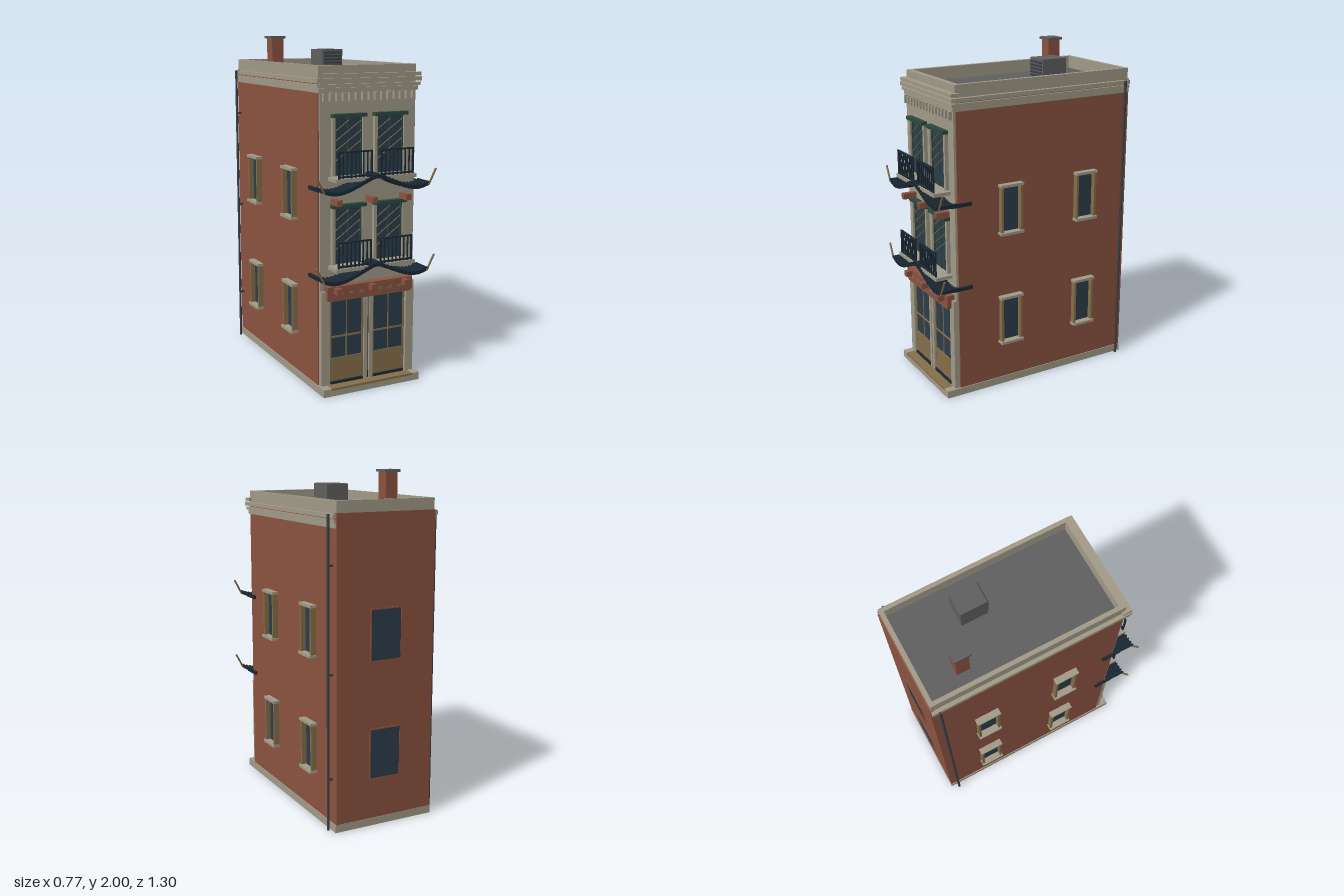
import * as THREE from 'three';

const mat = (name, color) => Object.assign(new THREE.MeshStandardMaterial({ color }), { name });
const M = {
  cream: mat('cream stone', 0xa39c89),
  brick: mat('red brick', 0x8d5341),
  roof: mat('roof grey', 0x606060),
  glass: mat('blue glass', 0x2d3e4c),
  tan: mat('tan wood', 0x86704a),
  navy: mat('dark navy iron', 0x1b2935),
  green: mat('dark green trim', 0x2b4a40),
  metal: mat('dark grey metal', 0x3d4145),
};

// Box given by its minimum and maximum on each axis
function box(parent, name, m, x0, x1, y0, y1, z0, z1) {
  const mesh = new THREE.Mesh(new THREE.BoxGeometry(x1 - x0, y1 - y0, z1 - z0), m);
  mesh.position.set((x0 + x1) / 2, (y0 + y1) / 2, (z0 + z1) / 2);
  mesh.name = name;
  parent.add(mesh);
  return mesh;
}

// Round bar between two points
function bar(parent, name, m, a, b, r, sides = 6) {
  const A = new THREE.Vector3(...a), B = new THREE.Vector3(...b);
  const mesh = new THREE.Mesh(new THREE.CylinderGeometry(r, r, A.distanceTo(B), sides), m);
  mesh.position.copy(A).add(B).multiplyScalar(0.5);
  mesh.quaternion.setFromUnitVectors(new THREE.Vector3(0, 1, 0), B.sub(A).normalize());
  mesh.name = name;
  parent.add(mesh);
}

function group(parent, name) {
  const g = new THREE.Group();
  g.name = name;
  parent.add(g);
  return g;
}

// Walls, base, parapet and cornice
function shell(root) {
  const g = group(root, 'shell');
  box(g, 'base', M.cream, -0.315, 0.315, 0, 0.045, -0.647, 0.605);
  box(g, 'brickBody', M.brick, -0.31, 0.31, 0.045, 1.765, -0.645, 0.518);
  box(g, 'backWallTop', M.brick, -0.31, 0.31, 1.76, 1.785, -0.645, -0.62);
  box(g, 'facade', M.cream, -0.302, 0.302, 0.045, 1.79, 0.5, 0.53);
  box(g, 'roofDeck', M.roof, -0.29, 0.29, 1.76, 1.775, -0.62, 0.5);
  for (const s of [-1, 1]) {
    const x = s * 0.295;
    box(g, 'parapetSide', M.cream, x - 0.0125, x + 0.0125, 1.765, 1.85, -0.637, 0.522);
  }
  box(g, 'parapetFront', M.cream, -0.283, 0.283, 1.765, 1.85, 0.49, 0.522);
  box(g, 'parapetBack', M.cream, -0.283, 0.283, 1.785, 1.85, -0.637, -0.613);
  box(g, 'parapetBackInside', M.cream, -0.283, 0.283, 1.765, 1.79, -0.625, -0.613);
  // Cornice bands along the sides and front
  [[1.705, 1.73, 0.314, 0.54], [1.732, 1.75, 0.324, 0.55], [1.757, 1.78, 0.33, 0.555]].forEach(([y0, y1, w, z]) => {
    for (const s of [-1, 1]) {
      const a = s * 0.3, b = s * w;
      box(g, 'corniceSide', M.cream, Math.min(a, b), Math.max(a, b), y0, y1, -0.64, z);
    }
    box(g, 'corniceFront', M.cream, -0.3, 0.3, y0, y1, 0.5, z);
  });
  box(g, 'corniceCap', M.cream, -0.325, 0.325, 1.786, 1.806, 0.5, 0.555);
  for (let i = -7; i <= 7; i++) {
    const x = i * 0.04;
    box(g, 'dentil', M.cream, x - 0.009, x + 0.009, 1.658, 1.705, 0.525, 0.552);
  }
  // Rainwater pipes
  for (const s of [-1, 1]) {
    bar(g, 'downpipe', M.metal, [s * 0.338, 0.005, -0.6], [s * 0.338, 1.78, -0.6], 0.008, 8);
    for (const y of [0.3, 0.9, 1.5]) box(g, 'pipeClip', M.metal, s * 0.323 - 0.014, s * 0.323 + 0.014, y, y + 0.012, -0.605, -0.595);
  }
}

// Chimney and ventilation unit
function roofItems(root) {
  const g = group(root, 'roofItems');
  box(g, 'chimney', M.brick, -0.193, -0.117, 1.77, 1.985, -0.43, -0.35);
  box(g, 'chimneyCap', M.roof, -0.205, -0.105, 1.985, 2, -0.44, -0.34);
  box(g, 'ventUnit', M.roof, 0.042, 0.178, 1.77, 1.92, -0.28, -0.12);
  for (let i = 0; i < 6; i++) {
    const y = 1.793 + i * 0.02;
    box(g, 'ventSlat', M.metal, 0.05, 0.17, y, y + 0.012, -0.122, -0.112);
  }
}

// Windows on the side and back walls
function wallWindows(root) {
  for (const y of [0.28, 0.965]) {
    const top = y + 0.293;
    for (const s of [-1, 1]) for (const z of [0.183, -0.333]) {
      const g = group(root, 'sideWindow');
      const put = (name, m, d, y0, y1, z0, z1) =>
        box(g, name, m, Math.min(s * 0.3, s * d), Math.max(s * 0.3, s * d), y0, y1, z + z0, z + z1);
      put('glass', M.glass, 0.314, y, top, -0.065, 0.065);
      for (const e of [-0.063, 0.063]) put('jamb', M.tan, 0.344, y + 0.01, top - 0.01, e - 0.007, e + 0.007);
      put('sill', M.cream, 0.355, y - 0.004, y + 0.012, -0.075, 0.075);
      put('lintel', M.cream, 0.35, top - 0.012, top + 0.004, -0.075, 0.075);
    }
    const b = group(root, 'backWindow');
    box(b, 'glass', M.glass, -0.095, 0.095, y, top, -0.648, -0.64);
    for (const s of [-1, 1]) box(b, 'jamb', M.brick, s * 0.098 - 0.004, s * 0.098 + 0.004, y, top, -0.65, -0.64);
    for (const e of [y, top]) box(b, 'rail', M.brick, -0.102, 0.102, e - 0.004, e + 0.004, -0.65, -0.64);
  }
}

// Shop front with paired doors and fascia
function shopFront(root) {
  const g = group(root, 'shopFront');
  for (const s of [-1, 1]) {
    box(g, 'pilaster', M.cream, s * 0.276 - 0.026, s * 0.276 + 0.026, 0.045, 0.6, 0.52, 0.55);
    box(g, 'centrePost', M.cream, s * 0.017 - 0.012, s * 0.017 + 0.012, 0.045, 0.56, 0.52, 0.55);
    const c = s * 0.137, h = 0.103;
    box(g, 'doorGlass', M.glass, c - h, c + h, 0.2, 0.55, 0.525, 0.535);
    box(g, 'doorPanel', M.tan, c - h, c + h, 0.06, 0.2, 0.525, 0.54);
    box(g, 'threshold', M.navy, c - h, c + h, 0.045, 0.062, 0.525, 0.55);
    box(g, 'doorRail', M.tan, c - h, c + h, 0.32, 0.33, 0.53, 0.54);
    box(g, 'doorMullion', M.tan, c - 0.003, c + 0.003, 0.2, 0.55, 0.53, 0.539);
    for (const e of [-1, 1]) box(g, 'doorStile', M.tan, c + e * h - 0.005, c + e * h + 0.005, 0.06, 0.55, 0.53, 0.541);
  }
  box(g, 'postGroove', M.navy, -0.005, 0.005, 0.045, 0.56, 0.52, 0.54);
  box(g, 'doorStep', M.tan, -0.265, 0.265, 0.034, 0.047, 0.55, 0.607);
  // Fascia board with clipped lower corners
  const f = new THREE.Shape([[-0.275, 0.63], [-0.275, 0.56], [-0.262, 0.546], [0.262, 0.546], [0.275, 0.56], [0.275, 0.63]]
    .map(p => new THREE.Vector2(...p)));
  const fascia = new THREE.Mesh(new THREE.ExtrudeGeometry(f, { depth: 0.05, bevelEnabled: false }), M.brick);
  fascia.position.z = 0.525;
  fascia.name = 'fascia';
  g.add(fascia);
  for (const x of [-0.125, -0.06, 0.06, 0.125, -0.19, 0.19]) box(g, 'fasciaInlay', M.tan, x - 0.014, x + 0.014, 0.58, 0.593, 0.57, 0.578);
}

// One upper floor: windows, balconies, swept canopy and corbels
function upperFloor(root, y) {
  const g = group(root, 'upperFloor');
  for (const s of [-1, 1]) {
    const c = s * 0.132, h = 0.088;
    box(g, 'glass', M.glass, c - h, c + h, y + 0.07, y + 0.395, 0.525, 0.535);
    for (const e of [-1, 1]) {
      const x = c + e * 0.094;
      box(g, 'windowSurround', M.cream, x - 0.009, x + 0.009, y + 0.07, y + 0.395, 0.525, 0.552);
      box(g, 'sashStile', M.green, c + e * 0.082 - 0.004, c + e * 0.082 + 0.004, y + 0.07, y + 0.395, 0.53, 0.542);
    }
    box(g, 'mullion', M.green, c - 0.004, c + 0.004, y + 0.07, y + 0.395, 0.53, 0.54);
    box(g, 'lintel', M.green, c - 0.106, c + 0.106, y + 0.39, y + 0.41, 0.525, 0.565);
    for (let i = 0; i < 4; i++) {
      const y0 = y + 0.15 + i * 0.055, rise = i === 3 ? 0.06 : 0.11, run = i === 3 ? 0.085 : 0.16;
      bar(g, 'slantedMuntin', M.tan, [c - 0.08, y0, 0.54], [c - 0.08 + run, y0 + rise, 0.54], 0.003, 4);
    }
    // Balcony slab and railing
    const a = s * 0.145;
    box(g, 'balconySlab', M.cream, a - 0.108, a + 0.108, y + 0.045, y + 0.066, 0.52, 0.635);
    for (const [r0, r1] of [[0.07, 0.08], [0.205, 0.214]]) box(g, 'handrail', M.navy, c - 0.105, c + 0.105, y + r0, y + r1, 0.62, 0.63);
    for (let i = 0; i <= 8; i++) {
      const x = c - 0.101 + i * 0.02525, w = i % 8 ? 0.0027 : 0.005;
      box(g, 'baluster', M.navy, x - w, x + w, y + 0.066, y + 0.21, 0.621, 0.629);
    }
    // Canopy returns and tilted poles
    box(g, 'canopyReturn', M.navy, s * 0.3225 - 0.0075, s * 0.3225 + 0.0075, y - 0.01, y + 0.01, 0.437, 0.56);
    bar(g, 'cornerPole', M.tan, [s * 0.33, y - 0.005, 0.642], [s * 0.378, y + 0.087, 0.642], 0.006);
  }
  // Swept canopy: thick curved band with tile ribs
  const half = [[0, 0.077], [0.06, 0.058], [0.13, 0.028], [0.2, 0.004], [0.27, -0.003], [0.328, 0.012]];
  const curve = new THREE.SplineCurve([...half.slice(1).reverse().map(([x, h]) => [-x, h]), ...half].map(p => new THREE.Vector2(...p)));
  const pts = curve.getPoints(40);
  const band = new THREE.Shape([...pts, ...pts.map(p => new THREE.Vector2(p.x, p.y - 0.02)).reverse()]);
  const canopy = new THREE.Mesh(new THREE.ExtrudeGeometry(band, { depth: 0.115, bevelEnabled: false }), M.navy);
  canopy.position.set(0, y, 0.528);
  canopy.name = 'canopy';
  g.add(canopy);
  for (let i = 0; i <= 28; i++) {
    const p = curve.getPointAt(i / 28);
    bar(g, 'canopyRib', M.navy, [p.x, y + p.y, 0.53], [p.x, y + p.y, 0.648], 0.006);
  }
  // Corbels under the canopy
  for (const x of [-0.22, 0, 0.22]) box(g, 'corbel', M.brick, x - 0.016, x + 0.016, y - 0.09, y - 0.055, 0.525, 0.613);
}

export function createModel() {
  const root = new THREE.Group();
  root.name = 'townhouse';
  shell(root);
  roofItems(root);
  wallWindows(root);
  shopFront(root);
  for (const y of [0.68, 1.18]) upperFloor(root, y);
  return root;
}
